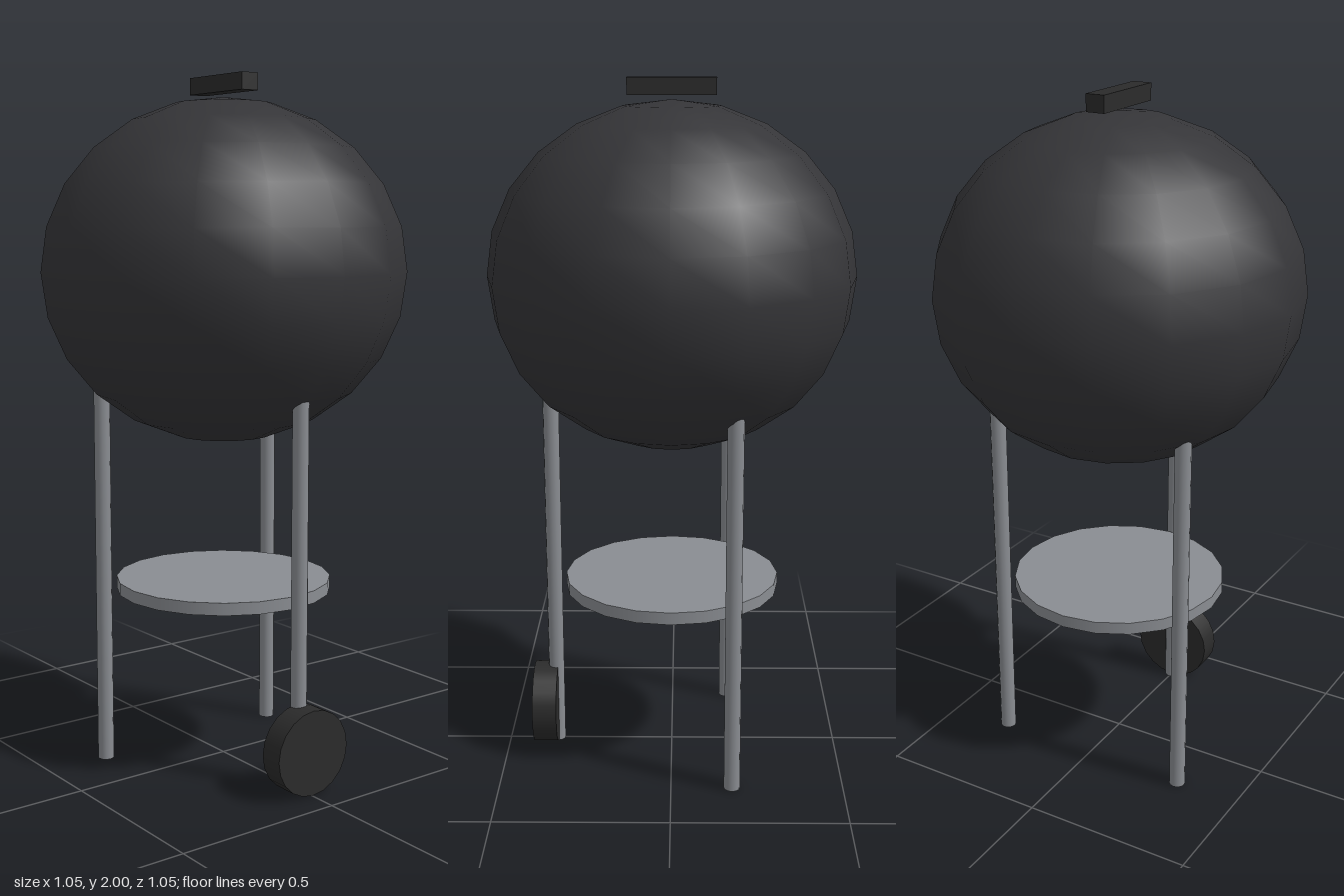
import * as THREE from 'three';

export function createModel() {
  const model = new THREE.Group();
  const enamel = new THREE.MeshStandardMaterial({ color: 0x353538 });
  const black = new THREE.MeshStandardMaterial({ color: 0x2b2b2b });
  const steel = new THREE.MeshStandardMaterial({ color: 0x8a8d92 });

  const add = (name, geometry, material, x, y, z) => {
    const mesh = new THREE.Mesh(geometry, material);
    mesh.name = name;
    mesh.position.set(x, y, z);
    model.add(mesh);
    return mesh;
  };

  // Kettle: two slightly flattened half spheres meeting at the rim
  const half = (start) => new THREE.SphereGeometry(0.527, 16, 6, 0, Math.PI * 2, start, Math.PI / 2);
  add('bowl', half(Math.PI / 2), enamel, 0, 1.45, 0).scale.y = 0.935;
  add('lid', half(0), enamel, 0, 1.45, 0).scale.y = 0.93;

  // Lid handle
  add('lidHandle', new THREE.BoxGeometry(0.248, 0.048, 0.056), black, 0, 1.976, 0);

  // Three legs evenly spaced, running up into the bowl
  for (let i = 0; i < 3; i++) {
    const a = (i * Math.PI * 2) / 3;
    add('leg' + (i + 1), new THREE.CylinderGeometry(0.0235, 0.0235, 1.16, 12), steel,
      0.354 * Math.cos(a), 0.58, 0.354 * Math.sin(a));
  }

  // Round shelf between the legs
  add('shelf', new THREE.CylinderGeometry(0.317, 0.317, 0.036, 20), steel, 0, 0.532, 0);

  // Wheel on the outer side of the left leg
  add('wheel', new THREE.CylinderGeometry(0.123, 0.123, 0.072, 20), black, 0.384, 0.125, 0)
    .rotation.z = Math.PI / 2;

  return model;
}
